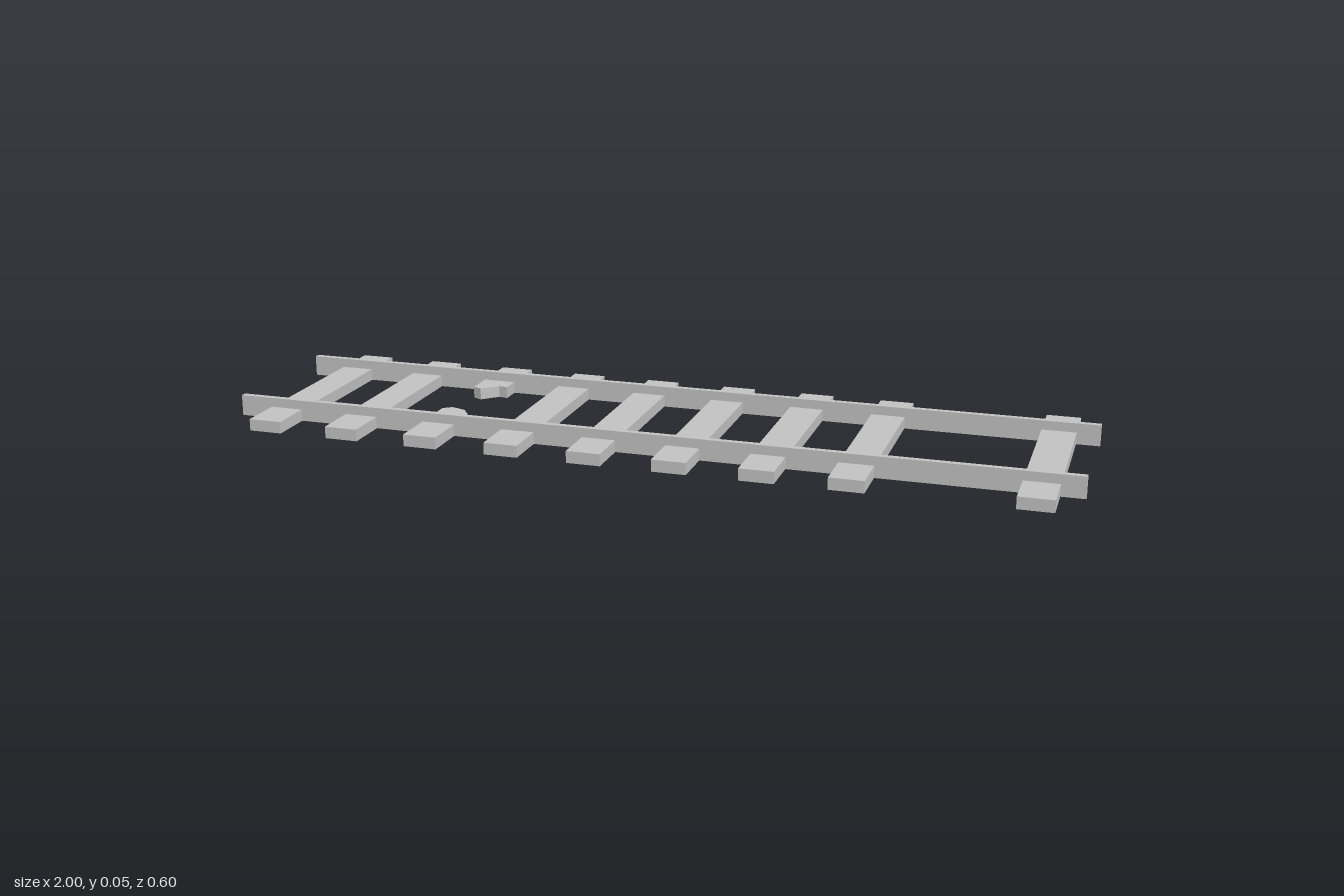
import * as THREE from 'three';

const TIE_HEIGHT = 0.028, TIE_HALF_WIDTH = 0.04, TIE_HALF_LENGTH = 0.3;
const RAIL_HEIGHT = 0.05, RAIL_Z = 0.187, RAIL_HALF_WIDTH = 0.0075;

// Flat-topped prism with an open underside; outline is [x, z], in any winding
function openPrism(outline, height) {
  const pts = outline.map(([x, z]) => new THREE.Vector2(x, -z));
  if (THREE.ShapeUtils.isClockWise(pts)) pts.reverse();
  const pos = [];
  const put = (p, y) => pos.push(p.x, y, -p.y);
  for (const face of THREE.ShapeUtils.triangulateShape(pts, [])) {
    for (const i of face) put(pts[i], height);
  }
  pts.forEach((a, i) => {
    const b = pts[(i + 1) % pts.length];
    put(a, 0); put(b, 0); put(b, height);
    put(a, 0); put(b, height); put(a, height);
  });
  const geo = new THREE.BufferGeometry();
  geo.setAttribute('position', new THREE.Float32BufferAttribute(pos, 3));
  geo.computeVertexNormals();
  return geo;
}

const rect = (hx, hz) => [[-hx, -hz], [hx, -hz], [hx, hz], [-hx, hz]];

export function createModel() {
  const group = new THREE.Group();
  group.name = 'railwayTrack';
  const grey = new THREE.MeshStandardMaterial({ color: 0xc2c2c2, side: THREE.DoubleSide });
  grey.name = 'grey';

  const add = (name, geo, x, z) => {
    const mesh = new THREE.Mesh(geo, grey);
    mesh.name = name;
    mesh.position.set(x, 0, z);
    group.add(mesh);
  };

  // Two long rails
  const railGeo = openPrism(rect(1, RAIL_HALF_WIDTH), RAIL_HEIGHT);
  add('frontRail', railGeo, 0, RAIL_Z);
  add('backRail', railGeo, 0, -RAIL_Z);

  // Whole sleepers, with one missing near the left end
  const tieGeo = openPrism(rect(TIE_HALF_WIDTH, TIE_HALF_LENGTH), TIE_HEIGHT);
  for (const x of [-0.88, -0.683, -0.285, -0.087, 0.112, 0.31, 0.508, 0.906]) {
    add('sleeper', tieGeo, x, 0);
  }

  // Snapped sleeper: two stubs with jagged ends
  const w = TIE_HALF_WIDTH, l = TIE_HALF_LENGTH;
  add('brokenSleeperBack', openPrism([
    [w, -l], [-w, -l], [-w, -0.11], [-0.018, -0.1], [0.018, -0.135], [w, -0.13],
  ], TIE_HEIGHT), -0.484, 0);
  add('brokenSleeperFront', openPrism([
    [-w, l], [w, l], [w, 0.113], [0.018, 0.08], [-0.02, 0.066], [-w, 0.082],
  ], TIE_HEIGHT), -0.484, 0);

  return group;
}
